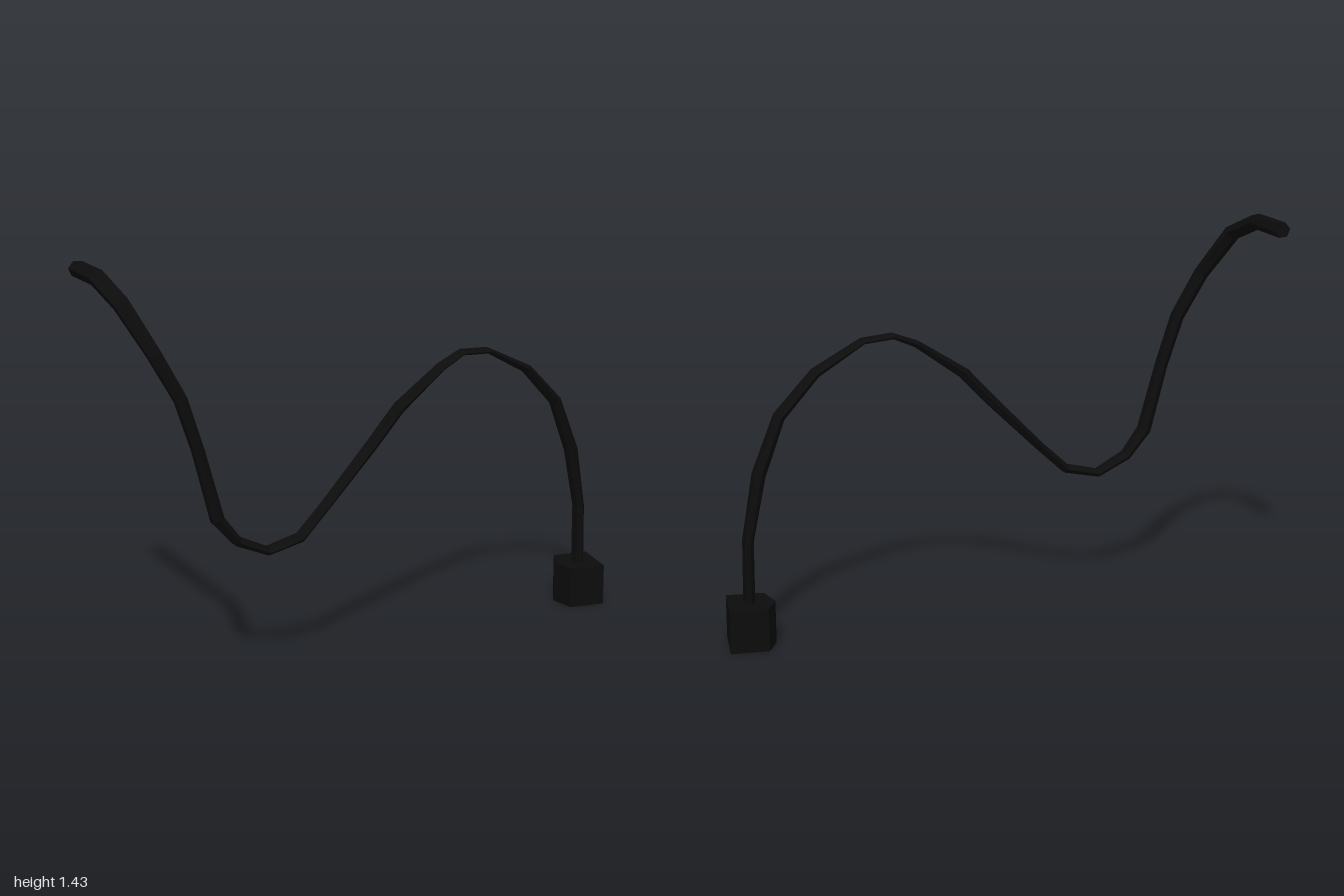
import * as THREE from 'three';

// Cable centre line from plug to free end: x, y, z, half width, half thickness
const PATH = [
  [0.925, 0.10, -0.165, 0.032, 0.018],
  [0.922, 0.38, -0.165, 0.030, 0.017],
  [0.877, 0.61, -0.147, 0.030, 0.022],
  [0.800, 0.81, -0.130, 0.029, 0.019],
  [0.668, 0.95, -0.095, 0.028, 0.016],
  [0.495, 1.043, -0.045, 0.027, 0.010],
  [0.385, 1.050, -0.018, 0.027, 0.010],
  [0.295, 1.01, 0.010, 0.026, 0.013],
  [0.120, 0.885, 0.058, 0.026, 0.020],
  [0.010, 0.765, 0.085, 0.026, 0.019],
  [-0.175, 0.575, 0.132, 0.026, 0.015],
  [-0.280, 0.475, 0.162, 0.027, 0.016],
  [-0.405, 0.445, 0.183, 0.029, 0.014],
  [-0.520, 0.500, 0.208, 0.029, 0.017],
  [-0.593, 0.590, 0.226, 0.029, 0.023],
  [-0.655, 0.84, 0.222, 0.029, 0.020],
  [-0.710, 1.02, 0.217, 0.028, 0.022],
  [-0.795, 1.18, 0.207, 0.028, 0.024],
  [-0.885, 1.342, 0.128, 0.029, 0.028],
  [-0.935, 1.407, -0.010, 0.029, 0.029],
  [-0.968, 1.407, -0.190, 0.029, 0.029],
];
const SIDES = 6;

// Loft six-sided rings along the path, carrying the side vector along it
function cableGeometry() {
  const centres = PATH.map(p => new THREE.Vector3(p[0], p[1], p[2]));
  const last = centres.length - 1;
  const side = new THREE.Vector3(0.24, 0, 0.97).normalize();
  const positions = [], index = [];
  centres.forEach((c, i) => {
    const before = centres[Math.max(i - 1, 0)], after = centres[Math.min(i + 1, last)];
    const tangent = after.clone().sub(before).normalize();
    side.addScaledVector(tangent, -side.dot(tangent)).normalize();
    const normal = tangent.clone().cross(side);
    for (let k = 0; k < SIDES; k++) {
      const a = (k / SIDES) * Math.PI * 2;
      const v = c.clone()
        .addScaledVector(side, Math.cos(a) * PATH[i][3])
        .addScaledVector(normal, Math.sin(a) * PATH[i][4] * 1.1);
      positions.push(v.x, v.y, v.z);
    }
  });
  for (let i = 0; i < last; i++) {
    for (let k = 0; k < SIDES; k++) {
      const a = i * SIDES + k, b = i * SIDES + (k + 1) % SIDES;
      index.push(a, b, b + SIDES, a, b + SIDES, a + SIDES);
    }
  }
  // end caps
  const end = last * SIDES;
  for (let k = 1; k < SIDES - 1; k++) {
    index.push(0, k + 1, k, end, end + k, end + k + 1);
  }
  const g = new THREE.BufferGeometry();
  g.setAttribute('position', new THREE.Float32BufferAttribute(positions, 3));
  g.setIndex(index);
  const flat = g.toNonIndexed();
  flat.computeVertexNormals();
  return flat;
}

// Plug: upright block with a pointed inner side
function plugGeometry() {
  const outline = [[1, 0.083], [1, 0.257], [0.865, 0.253], [0.834, 0.175], [0.865, 0.083]];
  const shape = new THREE.Shape(outline.map(([x, y]) => new THREE.Vector2(x, y)));
  const g = new THREE.ExtrudeGeometry(shape, { depth: 0.155, bevelEnabled: false });
  g.rotateX(-Math.PI / 2);
  return g;
}

export function createModel() {
  const black = new THREE.MeshStandardMaterial({ color: 0x0c0c0c, flatShading: true });
  black.name = 'black rubber';
  const group = new THREE.Group();
  group.name = 'cableWithPlug';
  const cable = new THREE.Mesh(cableGeometry(), black);
  cable.name = 'cable';
  const plug = new THREE.Mesh(plugGeometry(), black);
  plug.name = 'plug';
  group.add(cable, plug);
  return group;
}
